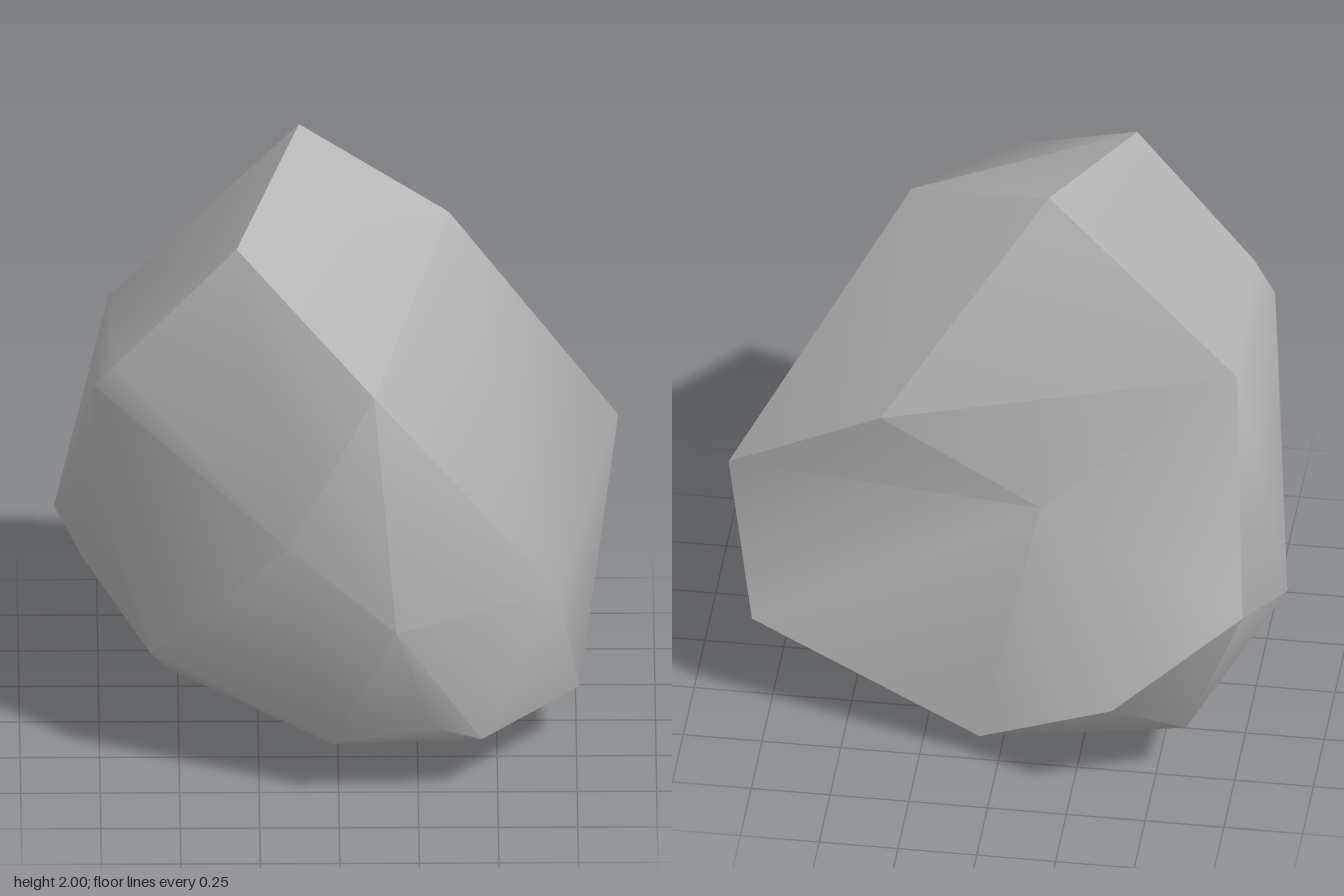
import * as THREE from 'three';
import { ConvexGeometry } from 'three/addons/geometries/ConvexGeometry.js';
import { toCreasedNormals } from 'three/addons/utils/BufferGeometryUtils.js';

const vec = (x, y, z) => new THREE.Vector3(x, y, z);

// Crown peak, and the rim of the hollow in the back, counter-clockwise from behind
const peak = vec(-0.12, 2, -0.2);
const rim = [
  vec(0.37, 1.33, -0.53), vec(0.885, 0.93, -0.29), vec(0.8, 0.38, -0.37), vec(0.06, 0.09, -0.5),
  vec(-0.4, 0.45, -0.79), vec(-0.79, 0.72, -0.61), vec(-0.72, 1.38, -0.23),
];
const hollow = vec(-0.12, 0.93, -0.4);

// The other corners of the boulder
const corners = [
  // crown and shoulders
  [0.35, 1.81, 0.04], [0.11, 1.5, 0.73], [-0.32, 1.85, 0.38],
  [-0.7, 1.42, 0.33], [-0.77, 1.33, 0.29], [-0.79, 1.05, 0.25],
  // front belly
  [-0.16, 1.0, 0.79], [0.18, 0.7, 0.785], [0.69, 0.67, 0.43], [-0.59, 0.43, 0.38], [-0.8, 0.62, 0.09],
  // flanks
  [0.76, 0.2, 0.16], [0.76, 0.28, -0.25], [-0.89, 0.61, -0.3],
  // underside
  [-0.6, 0.22, -0.54], [0.18, 0, 0], [-0.54, 0.3, 0.22],
  [-0.02, 0.2, 0.56], [0.45, 0.2, 0.53], [0.3, 0.28, 0.61],
].map((p) => vec(...p));

function boulderGeometry() {
  const capPoints = [peak, ...rim];
  const inCap = (p) => capPoints.some((q) => q.distanceTo(p) < 0.001);

  // Hull without the faces that cover the hollow
  const pos = new ConvexGeometry([...capPoints, ...corners]).attributes.position;
  const points = [];
  for (let i = 0; i < pos.count; i += 3) {
    const face = [0, 1, 2].map((k) => vec().fromBufferAttribute(pos, i + k));
    if (!face.every(inCap)) points.push(...face);
  }

  // Slope below the peak, then a fan from the hollow out to its rim
  points.push(peak, rim[0], rim[rim.length - 1]);
  rim.forEach((p, i) => points.push(hollow, p, rim[(i + 1) % rim.length]));

  return toCreasedNormals(new THREE.BufferGeometry().setFromPoints(points), 0.75);
}

export function createModel() {
  const stone = new THREE.MeshStandardMaterial({ color: 0xb4b4b4 });
  stone.name = 'stone grey';

  const boulder = new THREE.Mesh(boulderGeometry(), stone);
  boulder.name = 'boulder';
  const group = new THREE.Group();
  group.name = 'rock';
  group.add(boulder);
  return group;
}
